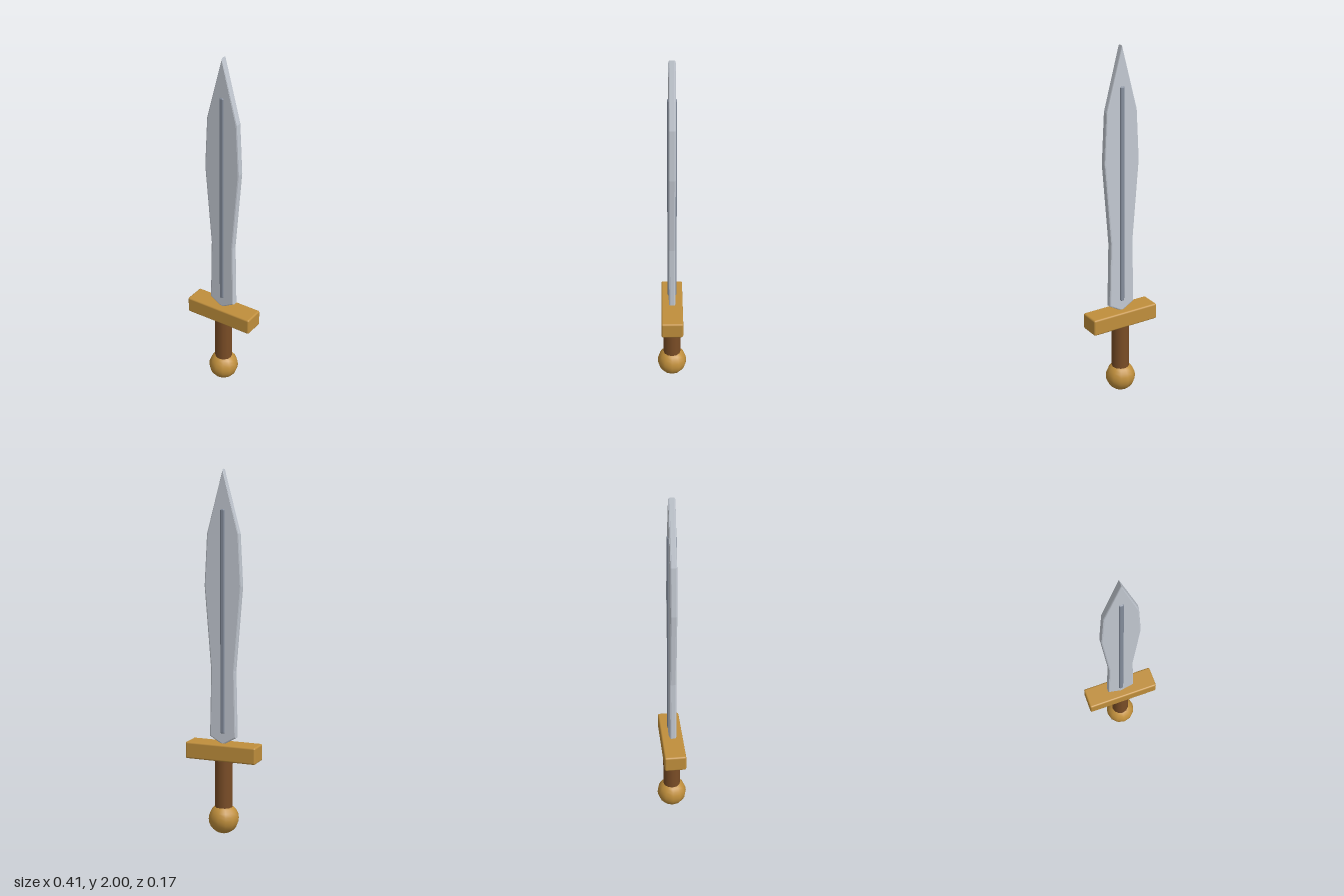
import * as THREE from 'three';
import { RoundedBoxGeometry } from 'three/addons/geometries/RoundedBoxGeometry.js';

const material = (name, color) => {
  const m = new THREE.MeshStandardMaterial({ color });
  m.name = name;
  return m;
};

export function createModel() {
  const steel = material('steel', 0xc3c9d2);
  const darkSteel = material('dark steel', 0x848d9c);
  const brass = material('brass', 0xc08f3c);
  const leather = material('leather', 0x7a4d26);

  const sword = new THREE.Group();
  sword.name = 'sword';
  const add = (name, geometry, mat, y) => {
    const mesh = new THREE.Mesh(geometry, mat);
    mesh.name = name;
    mesh.position.y = y;
    sword.add(mesh);
    return mesh;
  };

  // Leaf-shaped blade: mirrored half outline, bevelled inside its own edge
  const half = [[0.078, 0.55], [0.07, 0.92], [0.108, 1.38], [0.093, 1.66]];
  const outline = [[0, 0.505], ...half, [0, 2], ...half.map(([x, y]) => [-x, y]).reverse()];
  const bevel = 0.008, thickness = 0.037;
  const bladeGeometry = new THREE.ExtrudeGeometry(
    new THREE.Shape(outline.map(([x, y]) => new THREE.Vector2(x, y))),
    {
      depth: thickness - 2 * bevel, bevelEnabled: true, bevelSize: bevel,
      bevelThickness: bevel, bevelOffset: -bevel, bevelSegments: 2,
    });
  bladeGeometry.translate(0, 0, bevel - thickness / 2);
  add('blade', bladeGeometry, steel, 0);

  // Raised rib running through both faces of the blade
  add('centreRib', new RoundedBoxGeometry(0.026, 1.22, 0.051, 2, 0.008), darkSteel, 1.18);

  // Hilt
  add('crossguard', new RoundedBoxGeometry(0.413, 0.094, 0.122, 2, 0.01), brass, 0.468);
  add('grip', new THREE.CylinderGeometry(0.05, 0.05, 0.32, 12), leather, 0.28);
  add('pommel', new THREE.SphereGeometry(0.085, 12, 12), brass, 0.085);

  return sword;
}
